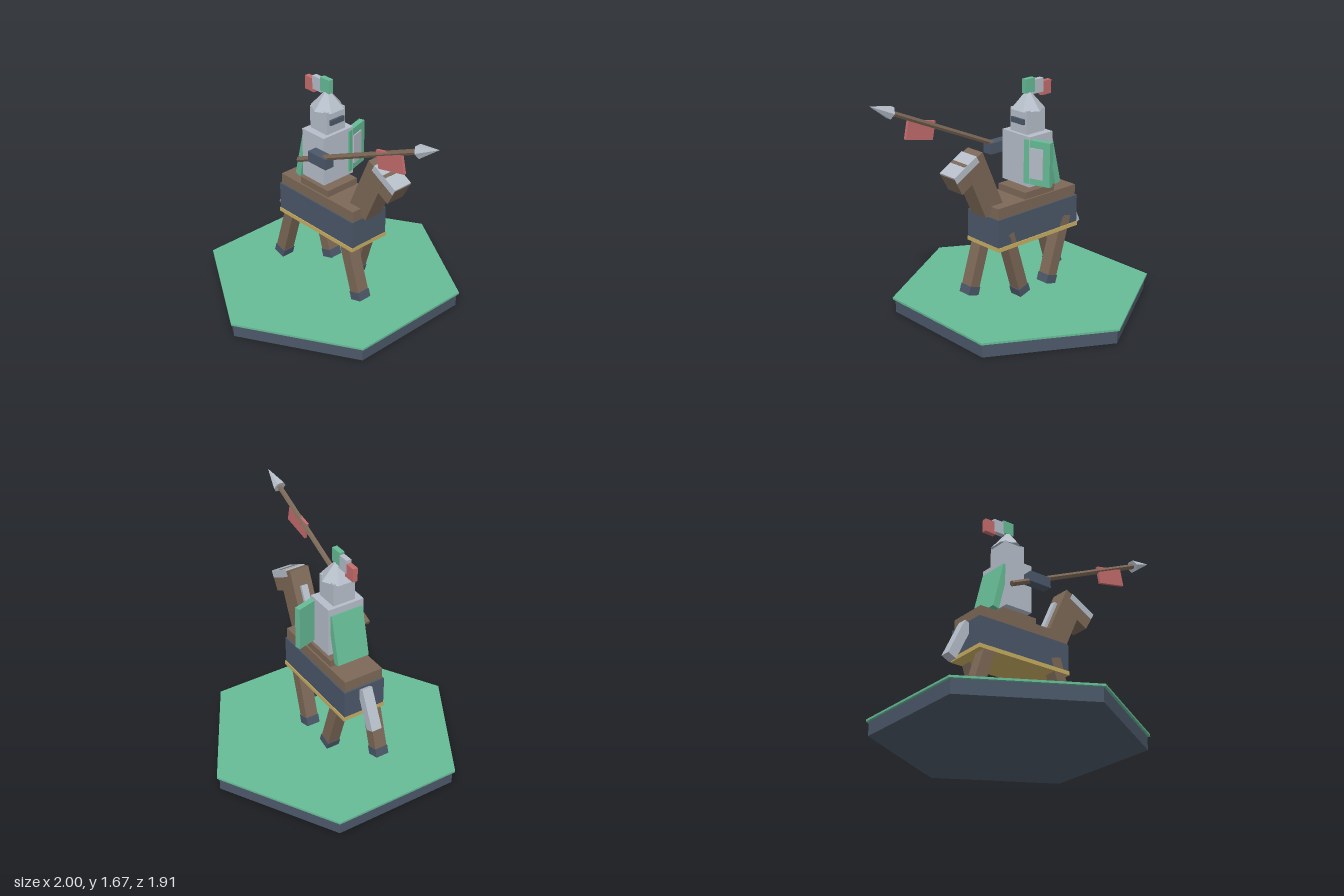
import * as THREE from 'three';

const mat = (name, color) => Object.assign(new THREE.MeshStandardMaterial({ color, flatShading: true }), { name });

export function createModel() {
  const green = mat('green', 0x66bb96);
  const slate = mat('slate', 0x4b5768);
  const brown = mat('brown', 0x7c6857);
  const silver = mat('silver', 0xb6bec9);
  const red = mat('red', 0xc46c6c);
  const gold = mat('gold', 0xc8ae62);

  const model = new THREE.Group();
  model.name = 'mountedKnight';

  function add(name, geometry, material, [x, y, z], parent = model) {
    const mesh = new THREE.Mesh(geometry, material);
    mesh.name = name;
    mesh.position.set(x, y, z);
    parent.add(mesh);
    return mesh;
  }
  // Box of a given size, optionally tilted in the side plane
  function box(name, material, size, pos, tilt = 0, parent = model) {
    const mesh = add(name, new THREE.BoxGeometry(...size), material, pos, parent);
    mesh.rotation.z = tilt;
    return mesh;
  }
  const hex = (rTop, rBottom, h) => new THREE.CylinderGeometry(rTop, rBottom, h, 6);

  // Hexagonal stand
  add('standBase', hex(0.935, 0.935, 0.1), slate, [-0.172, 0.05, 0]);
  add('standTop', hex(0.955, 0.955, 0.015), green, [-0.172, 0.1075, 0]);

  // Horse body with its cloth and saddle
  const horse = new THREE.Group();
  horse.name = 'horse';
  model.add(horse);
  box('body', brown, [0.746, 0.25, 0.3], [-0.17, 0.725, 0], 0, horse);
  box('cloth', slate, [0.764, 0.205, 0.32], [-0.173, 0.667, 0], 0, horse);
  box('clothTrim', gold, [0.768, 0.03, 0.332], [-0.173, 0.55, 0], 0, horse);
  box('saddle', brown, [0.283, 0.05, 0.276], [-0.203, 0.875, 0], 0, horse);

  // Legs swing from a shared pivot at each end
  for (const [end, x, y] of [['front', 0.102, 0.62], ['hind', -0.445, 0.62]]) {
    for (const side of [1, -1]) {
      const leg = new THREE.Group();
      leg.name = end + (side > 0 ? 'NearLeg' : 'FarLeg');
      leg.position.set(x, y, side * 0.113);
      leg.rotation.z = (end === 'front' ? side : -side) * 0.3;
      horse.add(leg);
      box('leg', brown, [0.086, 0.46, 0.094], [0, -0.21, 0], 0, leg);
      box('hoof', slate, [0.096, 0.062, 0.1], [0, -0.465, 0], 0, leg);
    }
  }

  // Neck, head, face armour, mane and tail
  box('neck', brown, [0.172, 0.45, 0.15], [0.262, 1.016, 0], -0.42, horse);
  box('horseHead', brown, [0.265, 0.14, 0.146], [0.374, 1.123, 0], -0.51, horse);
  box('faceArmour', silver, [0.225, 0.052, 0.152], [0.416, 1.163, 0], -0.51, horse);
  box('mane', silver, [0.045, 0.28, 0.05], [0.168, 1.02, 0], -0.42, horse);
  box('tail', silver, [0.07, 0.3, 0.078], [-0.62, 0.62, 0], -0.44, horse);

  // Rider
  const rider = new THREE.Group();
  rider.name = 'rider';
  model.add(rider);
  box('torso', silver, [0.22, 0.365, 0.276], [-0.21, 1.1125, 0], 0, rider);
  box('helmet', silver, [0.17, 0.168, 0.17], [-0.21, 1.379, 0], 0, rider);
  box('visor', slate, [0.03, 0.038, 0.124], [-0.123, 1.382, 0], 0, rider);
  add('helmetRoof', hex(0, 0.12, 0.14), silver, [-0.211, 1.525, 0], rider);
  box('cape', green, [0.05, 0.36, 0.245], [-0.353, 1.067, 0], -0.24, rider);
  box('armGuard', slate, [0.177, 0.08, 0.076], [-0.083, 1.165, 0.182], 0, rider);

  // Three-block plume
  [[green, -0.217, 1.616], [silver, -0.298, 1.6], [red, -0.374, 1.576]].forEach(([m, x, y], i) =>
    box('plume' + (i + 1), m, [0.09, 0.1, 0.038 - i * 0.001], [x, y, 0], 0, rider));

  // Shield, angled outward, with a raised face panel
  const shield = new THREE.Group();
  shield.name = 'shield';
  shield.position.set(-0.137, 1.115, -0.185);
  shield.rotation.y = 0.28;
  rider.add(shield);
  box('shieldBoard', green, [0.042, 0.32, 0.206], [0, 0, 0], 0, shield);
  box('shieldPanel', silver, [0.01, 0.22, 0.104], [0.024, -0.003, 0], 0, shield);

  // Lance running along its own x axis
  const lance = new THREE.Group();
  lance.name = 'lance';
  lance.position.set(-0.31, 1.072, 0.185);
  lance.rotation.z = 0.423;
  rider.add(lance);
  add('shaft', hex(0.02, 0.02, 1.27), brown, [0.635, 0, 0], lance).rotation.z = -Math.PI / 2;
  add('lanceTip', hex(0, 0.048, 0.18), silver, [1.346, 0, 0], lance).rotation.z = -Math.PI / 2;
  box('pennant', red, [0.233, 0.13, 0.02], [0.594, 1.42, 0.19], 0.21, rider);

  return model;
}
